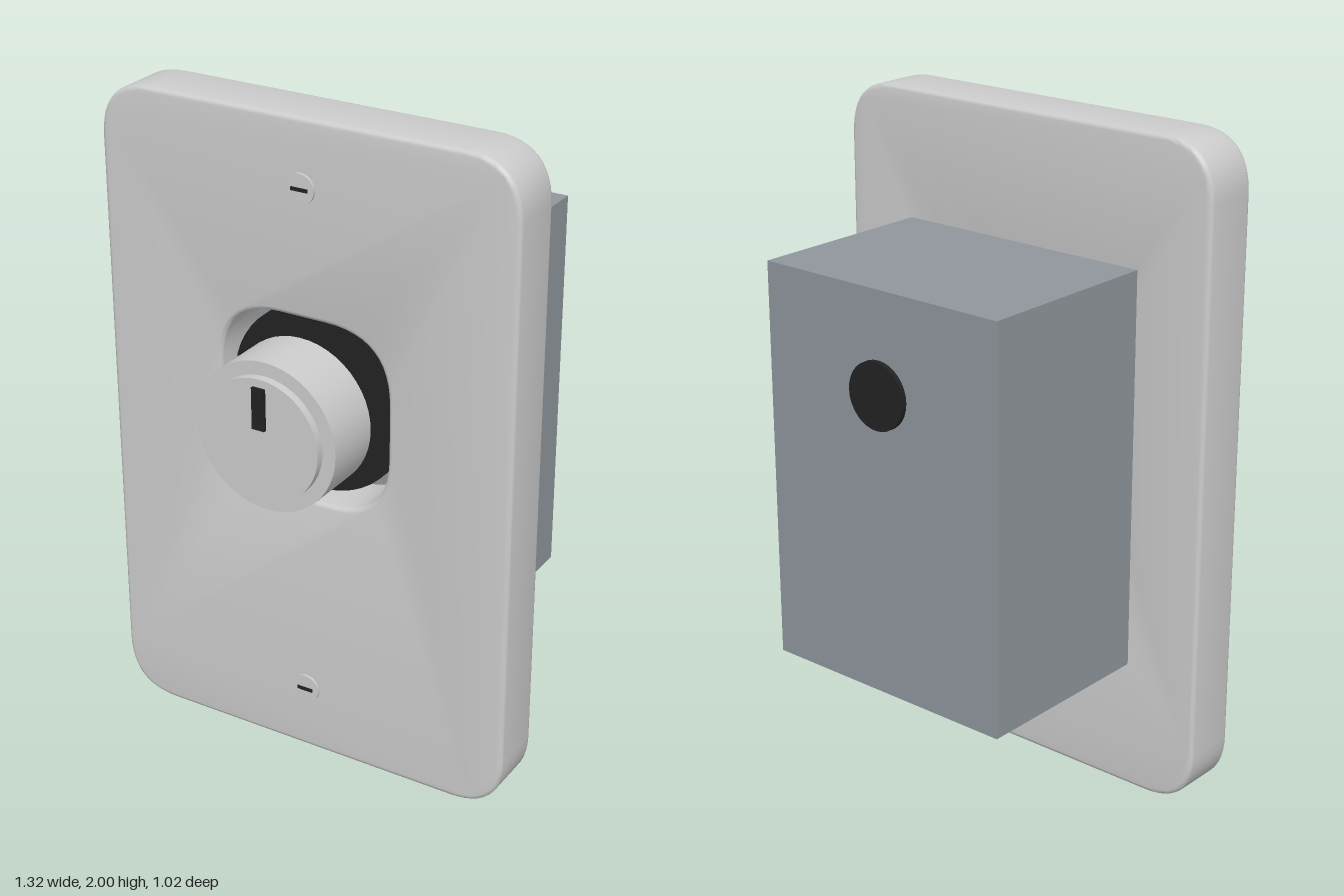
import * as THREE from 'three';
import { toCreasedNormals } from 'three/addons/utils/BufferGeometryUtils.js';

const CENTER_Y = 1.14; // height of the knob axis

const grey = new THREE.MeshStandardMaterial({ color: 0xcccccc });
const steel = new THREE.MeshStandardMaterial({ color: 0x8f969c });
const black = new THREE.MeshStandardMaterial({ color: 0x222222 });

// Rounded rectangle with quadratic corners, centred on (0, cy)
function roundedRect(path, w, h, r, cy) {
  const x = w / 2, t = cy + h / 2, b = cy - h / 2;
  path.moveTo(-x + r, b);
  path.lineTo(x - r, b);
  path.quadraticCurveTo(x, b, x, b + r);
  path.lineTo(x, t - r);
  path.quadraticCurveTo(x, t, x - r, t);
  path.lineTo(-x + r, t);
  path.quadraticCurveTo(-x, t, -x, t - r);
  path.lineTo(-x, b + r);
  path.quadraticCurveTo(-x, b, -x + r, b);
  return path;
}

export function createModel() {
  const group = new THREE.Group();

  function add(name, geometry, material, x, y, z) {
    const mesh = new THREE.Mesh(geometry, material);
    mesh.name = name;
    mesh.position.set(x, y, z);
    group.add(mesh);
    return mesh;
  }

  // Box and disc spanning z0..z1 along the depth axis
  const box = (name, mat, w, h, y, z0, z1) =>
    add(name, new THREE.BoxGeometry(w, h, z1 - z0), mat, 0, y, (z0 + z1) / 2);
  const disc = (name, mat, r, y, z0, z1, sides = 48) =>
    add(name, new THREE.CylinderGeometry(r, r, z1 - z0, sides).rotateX(Math.PI / 2), mat, 0, y, (z0 + z1) / 2);

  // Wall plate with softened edges and a rounded opening
  const bevel = 0.014;
  const outline = roundedRect(new THREE.Shape(), 1.32, 2, 0.16, 1);
  outline.holes.push(roundedRect(new THREE.Path(), 0.59, 0.6, 0.22, CENTER_Y));
  const plate = new THREE.ExtrudeGeometry(outline, {
    depth: 0.18 - 2 * bevel, curveSegments: 12,
    bevelEnabled: true, bevelThickness: bevel, bevelSize: bevel, bevelOffset: 0, bevelSegments: 3,
  });
  // Keep the bevelled outline at its full overall size
  plate.translate(0, -1, bevel).scale(1.32 / (1.32 + 2 * bevel), 2 / (2 + 2 * bevel), 1).translate(0, 1, 0.1);
  add('wallPlate', toCreasedNormals(plate, 0.6), grey, 0, 0, 0);

  // Housing behind the plate, with a cable entry on its back
  box('housing', steel, 0.84, 1.21, 1.005, -0.495, 0.1);
  disc('cableEntry', black, 0.1, 1.31, -0.51, -0.495, 32);

  // Dark collar inside the opening, and the shaft carrying the knob
  disc('collar', black, 0.285, CENTER_Y, 0.1, 0.2);
  disc('shaft', black, 0.08, CENTER_Y, 0.2, 0.29, 24);

  // Rotary knob, raised cap and pointer
  disc('knob', grey, 0.226, CENTER_Y, 0.29, 0.475);
  disc('knobCap', grey, 0.185, CENTER_Y, 0.475, 0.5);
  box('pointer', black, 0.04, 0.125, 1.238, 0.5, 0.51);

  // Slotted screws above and below
  for (const y of [1.8, 0.21]) {
    disc('screwHead', grey, 0.045, y, 0.275, 0.288, 24);
    box('screwSlot', black, 0.052, 0.01, y, 0.284, 0.292);
  }

  return group;
}
